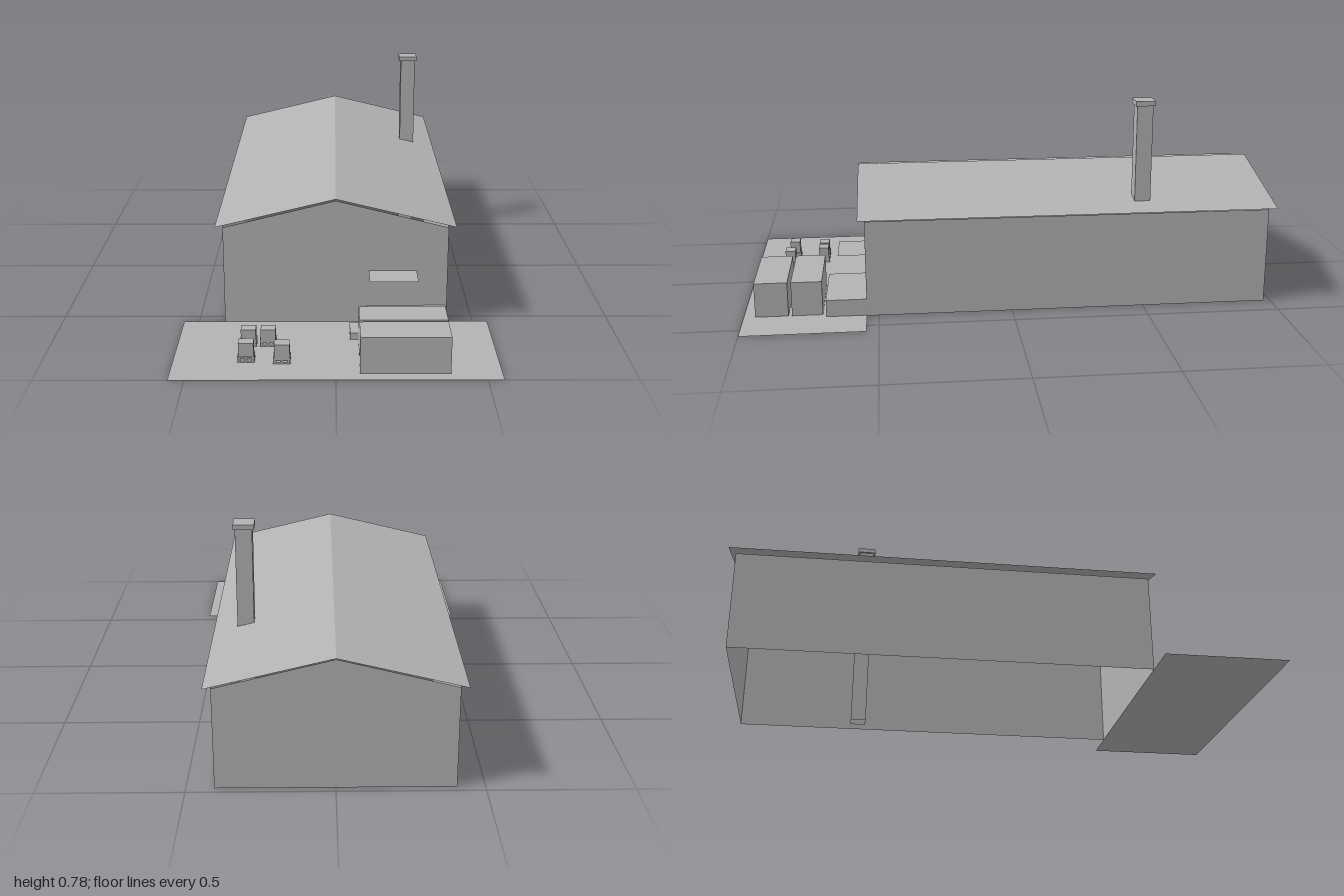
import * as THREE from 'three';

export function createModel() {
  const model = new THREE.Group();
  model.name = 'industrialHall';

  const grey = new THREE.MeshStandardMaterial({ color: 0xb3b3b3 });
  grey.name = 'plainGrey';
  grey.side = THREE.DoubleSide;

  const add = (name, geometry, parent = model) => {
    const mesh = new THREE.Mesh(geometry, grey);
    mesh.name = name;
    parent.add(mesh);
    return mesh;
  };

  // box given by its limits on each axis
  const box = (name, [x0, x1], [y0, y1], [z0, z1], parent) => {
    const mesh = add(name, new THREE.BoxGeometry(x1 - x0, y1 - y0, z1 - z0), parent);
    mesh.position.set((x0 + x1) / 2, (y0 + y1) / 2, (z0 + z1) / 2);
    return mesh;
  };

  // flat horizontal sheet
  const sheet = (name, [x0, x1], y, [z0, z1]) => {
    const geometry = new THREE.PlaneGeometry(x1 - x0, z1 - z0).rotateX(-Math.PI / 2);
    add(name, geometry).position.set((x0 + x1) / 2, y, (z0 + z1) / 2);
  };

  // walls: open shell without floor or ceiling
  const half = 0.405, eaves = 0.366, ridge = 0.467, front = 0.545, back = -0.975;
  const walls = new THREE.Group();
  walls.name = 'walls';
  model.add(walls);
  const gable = new THREE.Shape([
    [-half, 0], [half, 0], [half, eaves], [0, ridge], [-half, eaves],
  ].map(([x, y]) => new THREE.Vector2(x, y)));
  add('frontWall', new THREE.ShapeGeometry(gable), walls).position.z = front;
  const backWall = add('backWall', new THREE.ShapeGeometry(gable), walls);
  backWall.rotation.y = Math.PI;
  backWall.position.z = back;
  for (const side of [-1, 1]) {
    const wall = add(side > 0 ? 'leftWall' : 'rightWall',
      new THREE.PlaneGeometry(front - back, eaves), walls);
    wall.rotation.y = side * Math.PI / 2;
    wall.position.set(side * half, eaves / 2, (front + back) / 2);
  }

  // pitched roof sheet, lifted along the ridge
  const folded = new THREE.PlaneGeometry(0.862, 1.57, 2, 1).rotateX(-Math.PI / 2);
  const p = folded.attributes.position;
  for (let i = 0; i < p.count; i++) {
    p.setY(i, Math.abs(p.getX(i)) < 0.01 ? 0.481 : 0.376);
  }
  const roofGeometry = folded.toNonIndexed();
  roofGeometry.computeVertexNormals();
  add('roof', roofGeometry).position.z = -0.215;

  // chimney: open shaft down to the ground, with a cap
  const shaft = new THREE.CylinderGeometry(0.03 * Math.SQRT2, 0.03 * Math.SQRT2, 0.762, 4, 1, true)
    .rotateY(Math.PI / 4).toNonIndexed();
  shaft.computeVertexNormals();
  add('chimneyShaft', shaft).position.set(0.315, 0.381, -0.5);
  box('chimneyCap', [0.277, 0.352], [0.762, 0.78], [-0.537, -0.463]);

  // forecourt and canopy
  sheet('forecourt', [-0.555, 0.555], 0, [0.545, 1]);
  sheet('canopy', [0.12, 0.293], 0.2, [0.545, 0.65]);

  // containers, loading platform and step
  box('frontContainer', [0.08, 0.383], [0.002, 0.133], [0.835, 0.957]);
  box('rearContainer', [0.08, 0.383], [0.002, 0.133], [0.708, 0.822]);
  box('loadingPlatform', [0.112, 0.4], [0, 0.064], [0.545, 0.695]);
  box('step', [0.05, 0.112], [0, 0.025], [0.605, 0.695]);

  // crates on pallets
  const crates = [
    [-0.305, 0.732, 0.064], [-0.236, 0.732, 0.064],
    [-0.305, 0.855, 0.072], [-0.183, 0.866, 0.072],
  ];
  for (const [x, z, top] of crates) {
    const load = new THREE.Group();
    load.name = 'palletLoad';
    load.position.set(x, 0, z);
    model.add(load);
    box('palletBase', [-0.029, 0.029], [0.002, 0.008], [-0.023, 0.023], load);
    for (const s of [-0.023, 0, 0.023]) {
      box('palletBearer', [s - 0.004, s + 0.004], [0.008, 0.016], [-0.023, 0.023], load);
    }
    box('palletDeck', [-0.029, 0.029], [0.016, 0.024], [-0.023, 0.023], load);
    box('crate', [-0.026, 0.026], [0.024, top], [-0.02, 0.02], load);
  }

  return model;
}
